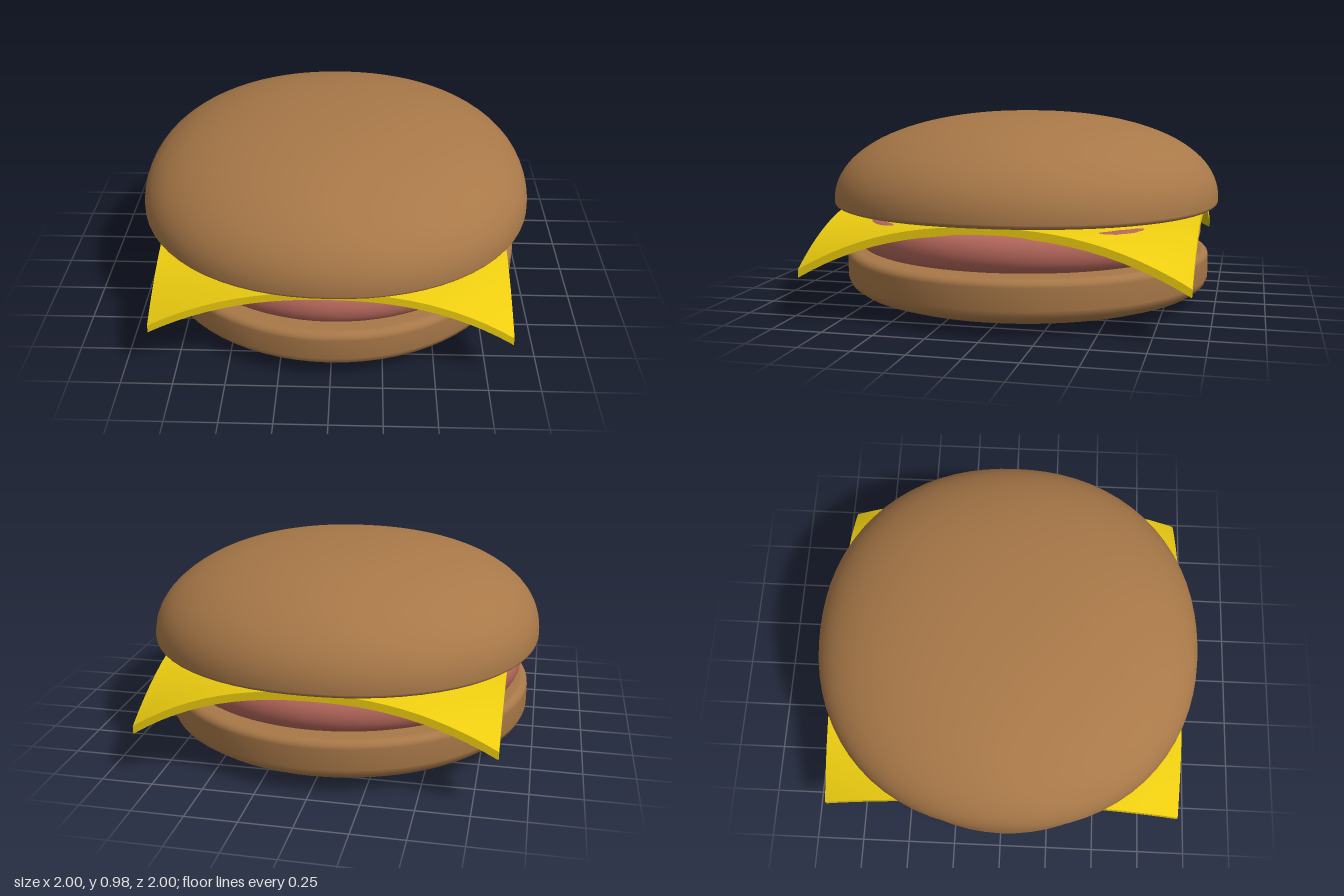
import * as THREE from 'three';

const material = (color) => new THREE.MeshStandardMaterial({ color });
const bunMaterial = material(0xa87848);

// Round part turned from a profile listed from the bottom axis to the top axis
function turned(name, points, mat) {
  const geometry = new THREE.LatheGeometry(points.map(([r, y]) => new THREE.Vector2(r, y)), 72);
  const mesh = new THREE.Mesh(geometry, mat);
  mesh.name = name;
  return mesh;
}

// Points on a superellipse quarter or half, from angle a to b
function arc(cx, cy, rx, ry, a, b, steps, power = 2) {
  const bend = (v) => Math.sign(v) * Math.abs(v) ** (2 / power);
  return Array.from({ length: steps + 1 }, (_, i) => {
    const t = a + ((b - a) * i) / steps;
    return [Math.max(0, cx + rx * bend(Math.cos(t))), cy + ry * bend(Math.sin(t))];
  });
}

// Square slice whose four corners hang down
function cheeseSlice() {
  const geometry = new THREE.BoxGeometry(1.715, 0.04, 1.855, 24, 1, 24);
  const p = geometry.attributes.position;
  for (let i = 0; i < p.count; i++) {
    const x = p.getX(i), z = p.getZ(i);
    const droop = (0.225 + 0.012 * x) * (Math.abs(x * z) / 0.795) ** 2.3;
    p.setY(i, p.getY(i) + 0.48 - droop - 0.008 * x);
  }
  geometry.computeVertexNormals();
  const mesh = new THREE.Mesh(geometry, material(0xeccc10));
  mesh.name = 'cheeseSlice';
  return mesh;
}

export function createModel() {
  const model = new THREE.Group();
  model.name = 'burger';
  const H = Math.PI / 2;

  // Bottom bun: shallow rounded base, upright wall, small rounded rim
  model.add(turned('bottomBun', [
    [0, 0], [0.3, 0.004], [0.55, 0.013], [0.72, 0.027], [0.83, 0.046], [0.9, 0.07],
    [0.94, 0.1], [0.955, 0.135],
    ...arc(0.915, 0.24, 0.04, 0.036, 0, H, 6), [0.8, 0.278], [0, 0.28],
  ], bunMaterial));

  // Patty: flat disc with a full round edge
  model.add(turned('patty', [
    [0, 0.279], [0.6, 0.281], ...arc(0.845, 0.373, 0.07, 0.088, -H, H, 14), [0.6, 0.46], [0, 0.46],
  ], material(0xb3665a)));

  model.add(cheeseSlice());

  // Top bun: dome over a nearly flat underside, slightly squared in plan
  const topBun = turned('topBun', [
    [0, 0.502], [0.6, 0.504], [0.93, 0.506],
    ...arc(0.97, 0.53, 0.03, 0.022, -H, 0, 5).slice(0, -1),
    ...arc(0, 0.53, 1, 0.45, 0, H, 28, 2.2),
  ], bunMaterial);
  const p = topBun.geometry.attributes.position;
  for (let i = 0; i < p.count; i++) {
    const x = p.getX(i), z = p.getZ(i), r = Math.hypot(x, z);
    if (r < 1e-5) continue;
    const n = 2.15;
    const k = (Math.abs(x / r) ** n + Math.abs(z / r) ** n) ** (-1 / n);
    p.setX(i, x * k);
    p.setZ(i, z * k);
  }
  model.add(topBun);

  return model;
}
